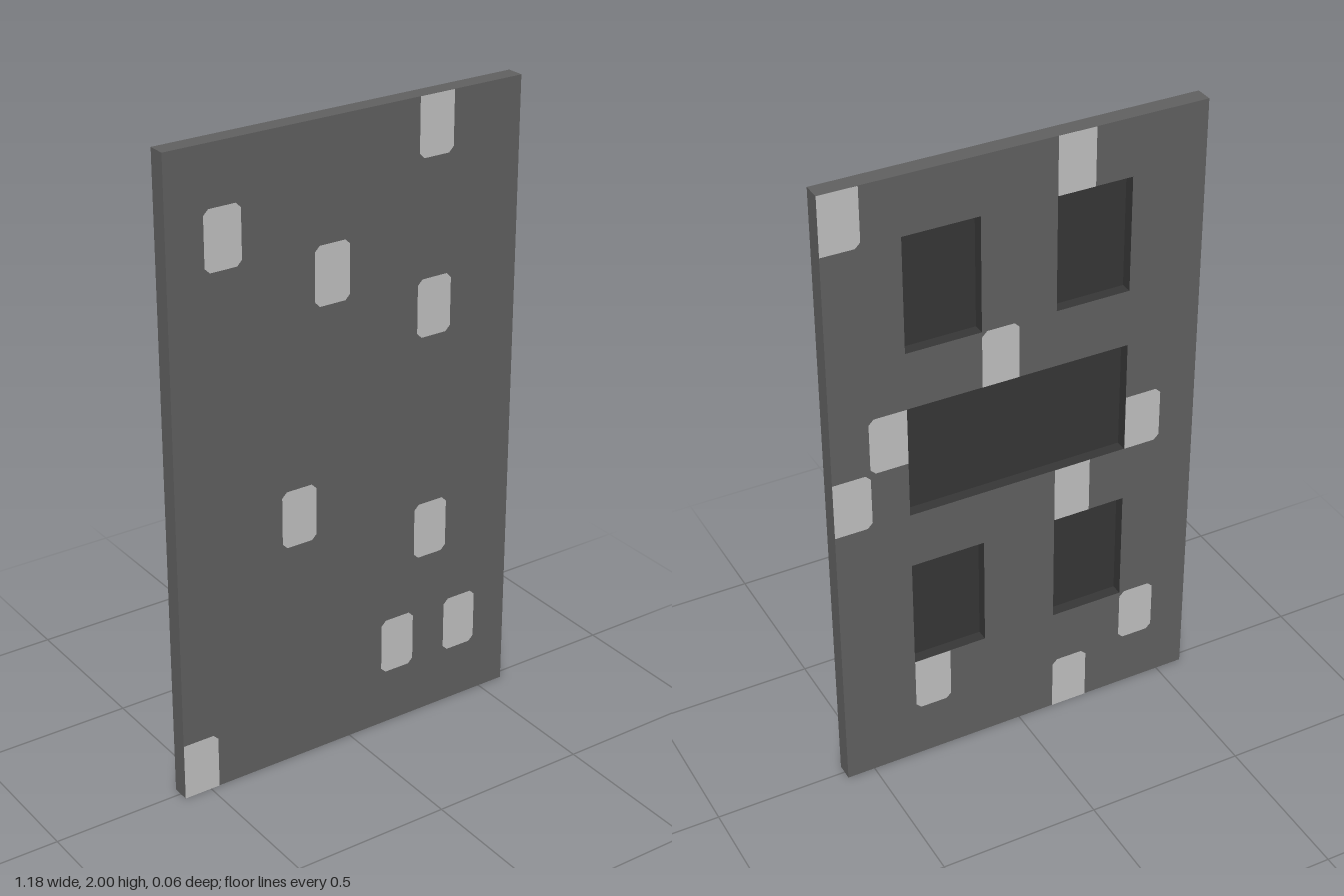
import * as THREE from 'three';

const W = 1.176, H = 2, T = 0.055; // panel size
const COLS = 10, ROWS = 11;        // layout grid, rows counted from the top
const CW = W / COLS, RH = H / ROWS;
const DEPTH = 0.036;               // pocket depth
const LIFT = 0.0008;               // spots sit just proud of the surface

const gx = (c) => -W / 2 + c * CW;
const gy = (r) => H - r * RH;

// Box with one side left open (0..5 = +x -x +y -y +z -z), optionally turned inside out
function openBox(w, h, d, openSide, insideOut) {
  const g = new THREE.BoxGeometry(w, h, d);
  const index = Array.from(g.index.array).filter((_, i) => Math.floor(i / 6) !== openSide);
  g.setIndex(insideOut ? index.reverse() : index);
  g.clearGroups();
  if (insideOut) g.computeVertexNormals();
  return g;
}

// Rectangle outline in grid units
function gridRect(c0, r0, c1, r1) {
  return [[c0, r0], [c0, r1], [c1, r1], [c1, r0]].map(([c, r]) => new THREE.Vector2(gx(c), gy(r)));
}

// One-cell spot with clipped corners; sides listed in `square` (L R T B) keep their corners
function spotGeometry(c, r, square = '') {
  const pts = [];
  const k = 0.016;
  const corners = [['L', 'B'], ['R', 'B'], ['R', 'T'], ['L', 'T']];
  corners.forEach(([sx, sy], i) => {
    const x = gx(sx === 'L' ? c : c + 1), y = gy(sy === 'T' ? r : r + 1);
    if (square.includes(sx) || square.includes(sy)) {
      pts.push(new THREE.Vector2(x, y));
      return;
    }
    const alongX = new THREE.Vector2(x + (sx === 'L' ? k : -k), y);
    const alongY = new THREE.Vector2(x, y + (sy === 'B' ? k : -k));
    pts.push(...(i % 2 ? [alongX, alongY] : [alongY, alongX]));
  });
  return new THREE.ShapeGeometry(new THREE.Shape(pts));
}

export function createModel() {
  const slate = new THREE.MeshStandardMaterial({ name: 'slate grey', color: 0x606060 });
  const dark = new THREE.MeshStandardMaterial({ name: 'recess grey', color: 0x363636 });
  const pale = new THREE.MeshStandardMaterial({ name: 'pale grey', color: 0xc0c0c0 });

  const model = new THREE.Group();
  model.name = 'panel';
  const add = (parent, name, geometry, material) => {
    const mesh = new THREE.Mesh(geometry, material);
    mesh.name = name;
    parent.add(mesh);
    return mesh;
  };

  // Slab: front and edges
  add(model, 'slab', openBox(W, H, T, 5, false), slate).position.y = H / 2;

  // Front spots: column, row, square sides
  const front = new THREE.Group();
  front.name = 'frontSpots';
  front.position.z = T / 2 + LIFT;
  model.add(front);
  [[7, 0, 'T'], [1, 1], [4, 2], [7, 3], [3, 6], [7, 7], [6, 9], [8, 9], [0, 10, 'LB']]
    .forEach((s) => add(front, 'frontSpot', spotGeometry(...s), pale));

  // Back, laid out as seen from behind
  const back = new THREE.Group();
  back.name = 'back';
  back.rotation.y = Math.PI;
  model.add(back);

  // Pockets: left, top, right, bottom grid lines
  const pockets = [[2, 1, 4, 3], [6, 1, 8, 3], [2, 4, 8, 6], [2, 7, 4, 9], [6, 7, 8, 9]];
  const face = new THREE.Shape(gridRect(0, 0, COLS, ROWS));
  pockets.forEach(([c0, r0, c1, r1]) => {
    face.holes.push(new THREE.Path(gridRect(c0, r0, c1, r1)));
    const pocket = add(back, 'pocket',
      openBox((c1 - c0) * CW, (r1 - r0) * RH, DEPTH, 4, true), dark);
    pocket.position.set((gx(c0) + gx(c1)) / 2, (gy(r0) + gy(r1)) / 2, (T - DEPTH) / 2);
  });
  add(back, 'backFace', new THREE.ShapeGeometry(face), slate).position.z = T / 2;

  // Back spots, square where they meet an edge or a pocket
  [[0, 0, 'LT'], [6, 0, 'TB'], [4, 3, 'B'], [1, 4, 'R'], [0, 5, 'L'], [8, 5, 'L'],
    [6, 6, 'TB'], [2, 9, 'T'], [8, 9], [6, 10, 'B']]
    .forEach((s) => {
      add(back, 'backSpot', spotGeometry(...s), pale).position.z = T / 2 + LIFT;
    });

  return model;
}
